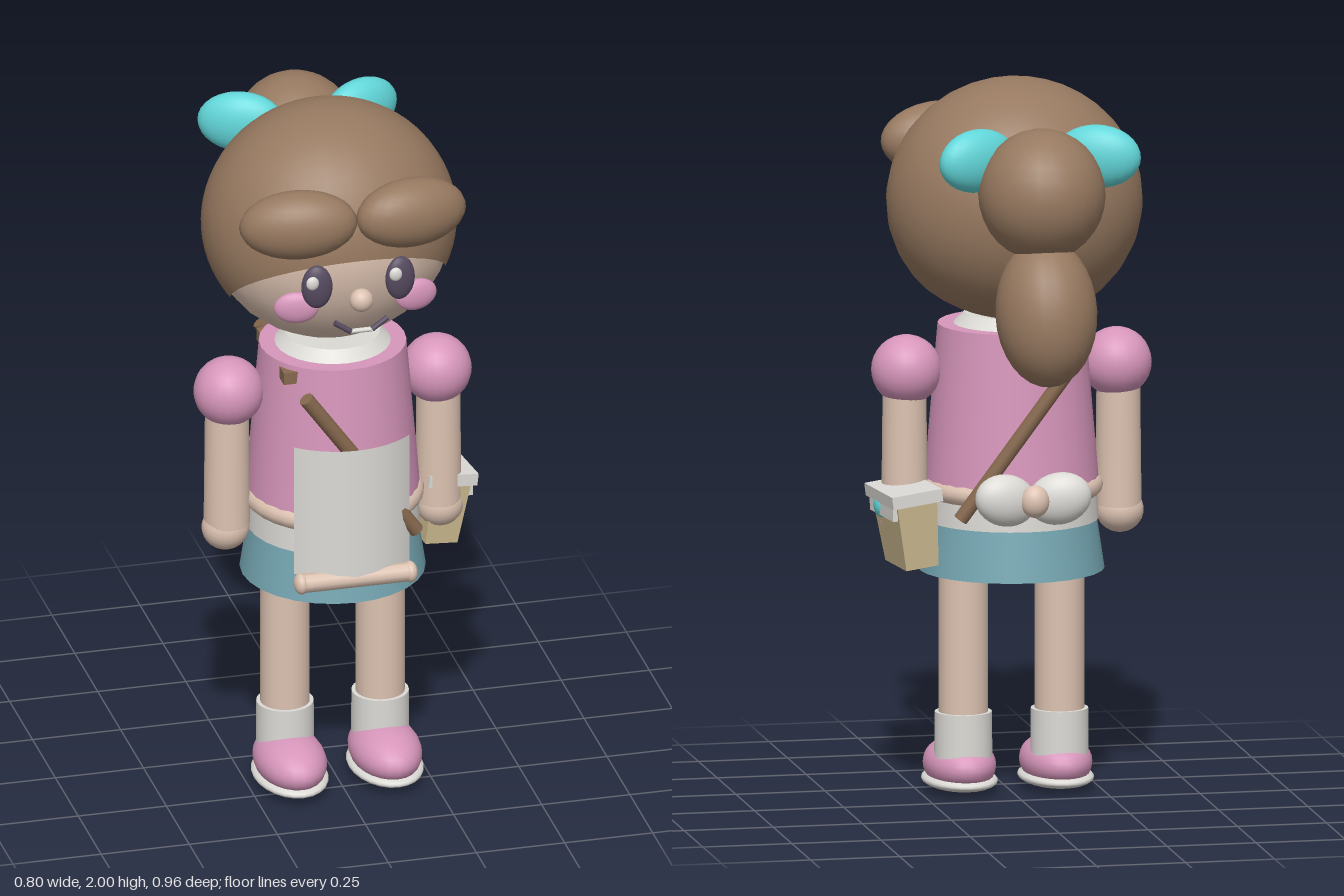
import * as THREE from 'three';

const mat = (name, color, side = THREE.FrontSide) => {
  const m = new THREE.MeshStandardMaterial({ color, side });
  m.name = name;
  return m;
};

export function createModel() {
  const root = new THREE.Group();
  root.name = 'girl';
  const hair = mat('hair brown', 0x977960), skin = mat('skin', 0xdcc2b1), pink = mat('pink', 0xd796bb);
  const aqua = mat('bow turquoise', 0x62d6d9), teal = mat('skirt teal', 0x76a7b3);
  const white = mat('white', 0xdcdad5, THREE.DoubleSide), dark = mat('eye purple', 0x564a60);
  const tan = mat('bag tan', 0xcfbd92), leather = mat('strap brown', 0x87694f);
  const Z = 0.14; // depth of the body axis

  const add = (name, geo, m, pos = [0, 0, 0], rot = [0, 0, 0], parent = root) => {
    const mesh = new THREE.Mesh(geo, m);
    mesh.name = name;
    mesh.position.set(...pos);
    mesh.rotation.set(...rot);
    parent.add(mesh);
    return mesh;
  };
  const blob = (name, m, r, pos, rot) =>
    add(name, new THREE.SphereGeometry(1, 24, 16).scale(...r), m, pos, rot);
  const tube = (name, m, rTop, rBottom, y0, y1, x = 0) =>
    add(name, new THREE.CylinderGeometry(rTop, rBottom, y1 - y0, 28), m, [x, (y0 + y1) / 2, Z]);
  // straight bar between two points
  const bar = (name, m, a, b, r) => {
    const p = new THREE.Vector3(...a), q = new THREE.Vector3(...b), d = q.clone().sub(p);
    const mesh = add(name, new THREE.CylinderGeometry(r, r, d.length(), 10), m);
    mesh.position.copy(p).add(q).multiplyScalar(0.5);
    mesh.quaternion.setFromUnitVectors(new THREE.Vector3(0, 1, 0), d.normalize());
    return mesh;
  };

  // Head with a hair cap tilted backwards
  blob('head', skin, [0.347, 0.332, 0.315], [0, 1.66, 0.1]);
  const cap = new THREE.SphereGeometry(1, 32, 24, 0, Math.PI * 2, 0, 2.13);
  cap.rotateX(-0.61).scale(0.354, 0.34, 0.322);
  add('hairCap', cap, hair, [0, 1.66, 0.1]);
  blob('ponytailTop', hair, [0.175, 0.182, 0.18], [0, 1.74, -0.268]);
  blob('ponytailEnd', hair, [0.14, 0.205, 0.148], [0, 1.42, -0.328], [0.25, 0, 0]);

  // Face centre
  blob('nose', skin, [0.033, 0.033, 0.03], [0, 1.575, 0.455]);
  bar('mouthMiddle', white, [-0.03, 1.482, 0.452], [0.03, 1.482, 0.452], 0.007);

  // Body and clothes
  tube('collar', white, 0.13, 0.165, 1.305, 1.34);
  tube('shirt', pink, 0.203, 0.24, 0.87, 1.31);
  add('belt', new THREE.TorusGeometry(0.222, 0.03, 12, 32), skin, [0, 0.858, Z], [Math.PI / 2, 0, 0]);
  tube('waistband', white, 0.235, 0.24, 0.765, 0.85);
  tube('skirt', teal, 0.232, 0.256, 0.625, 0.785);

  for (const s of [-1, 1]) {
    // Hair and bow pieces
    blob('fringe', hair, [0.163, 0.098, 0.083], [s * 0.16, 1.79, 0.382], [0, s * 0.2, s * -0.05]);
    blob('hairBow', aqua, [0.122, 0.088, 0.055], [s * 0.168, 1.83, -0.21], [0, s * 0.4, 0]);
    // Facial features
    blob('eye', dark, [0.043, 0.064, 0.022], [s * 0.118, 1.615, 0.424], [0, s * 0.15, 0]);
    blob('eyeHighlight', white, [0.018, 0.02, 0.01], [s * 0.118 - 0.018, 1.637, 0.446]);
    blob('cheek', pink, [0.062, 0.046, 0.022], [s * 0.17, 1.546, 0.398], [0, s * 0.2, 0]);
    bar('mouthCorner', dark, [s * 0.075, 1.513, 0.452], [s * 0.03, 1.483, 0.455], 0.008);
    // Arms
    blob('sleeve', pink, [0.097, 0.097, 0.097], [s * 0.295, 1.188, Z]);
    tube('arm', skin, 0.06, 0.064, 0.79, 1.15, s * 0.3);
    blob('hand', skin, [0.066, 0.063, 0.064], [s * 0.304, 0.775, Z]);
    // Legs and shoes
    tube('leg', skin, 0.068, 0.068, 0.12, 0.66, s * 0.135);
    tube('sock', white, 0.079, 0.08, 0.1, 0.228, s * 0.135);
    blob('shoe', pink, [0.098, 0.075, 0.158], [s * 0.135, 0.073, 0.192]);
    blob('sole', white, [0.103, 0.027, 0.161], [s * 0.135, 0.03, 0.192]);
    // Apron bow at the back
    blob('apronBow', white, [0.09, 0.072, 0.05], [s * 0.075, 0.865, -0.143], [0, s * 0.2, s * 0.25]);
  }
  blob('apronKnot', skin, [0.04, 0.045, 0.035], [0, 0.865, -0.175]);

  // Curved apron with a rolled hem
  add('apron', new THREE.CylinderGeometry(0.243, 0.243, 0.385, 16, 1, true, -0.74, 1.48), white, [0, 0.905, 0.172]);
  bar('apronHem', skin, [-0.165, 0.7, 0.392], [0.165, 0.7, 0.392], 0.027);
  for (const s of [-1, 1]) blob('hemEnd', skin, [0.02, 0.03, 0.03], [s * 0.155, 0.7, 0.392]);

  // Shoulder strap
  bar('strapFront', leather, [-0.14, 1.26, 0.39], [0.185, 0.8, 0.345], 0.021);
  bar('strapBack', leather, [-0.14, 1.26, -0.117], [0.185, 0.8, -0.06], 0.021);
  add('strapShoulder', new THREE.BoxGeometry(0.05, 0.035, 0.3), leather, [-0.152, 1.278, Z]);

  // Side bag, tapering to its base, with flap and button
  const bag = new THREE.Group();
  bag.name = 'sideBag';
  bag.position.set(0.305, 0.76, 0.07);
  bag.rotation.set(0, 0.12, -0.12);
  root.add(bag);
  const body = new THREE.BoxGeometry(0.115, 0.18, 0.22, 1, 4, 1);
  const p = body.attributes.position;
  for (let i = 0; i < p.count; i++) {
    const k = 1 - 0.18 * (0.5 - p.getY(i) / 0.18);
    p.setX(i, p.getX(i) * k);
    p.setZ(i, p.getZ(i) * k);
  }
  body.computeVertexNormals();
  add('bagBody', body, tan, [0, -0.01, 0], [0, 0, 0], bag);
  add('bagFlap', new THREE.BoxGeometry(0.145, 0.035, 0.24), white, [0, 0.1, 0], [0, 0, 0], bag);
  add('bagFlapFront', new THREE.BoxGeometry(0.014, 0.05, 0.2), white, [0.062, 0.07, 0], [0, 0, 0.1], bag);
  blob('bagButton', aqua, [0.022, 0.034, 0.035], [0.372, 0.82, 0.1]);
  return root;
}
